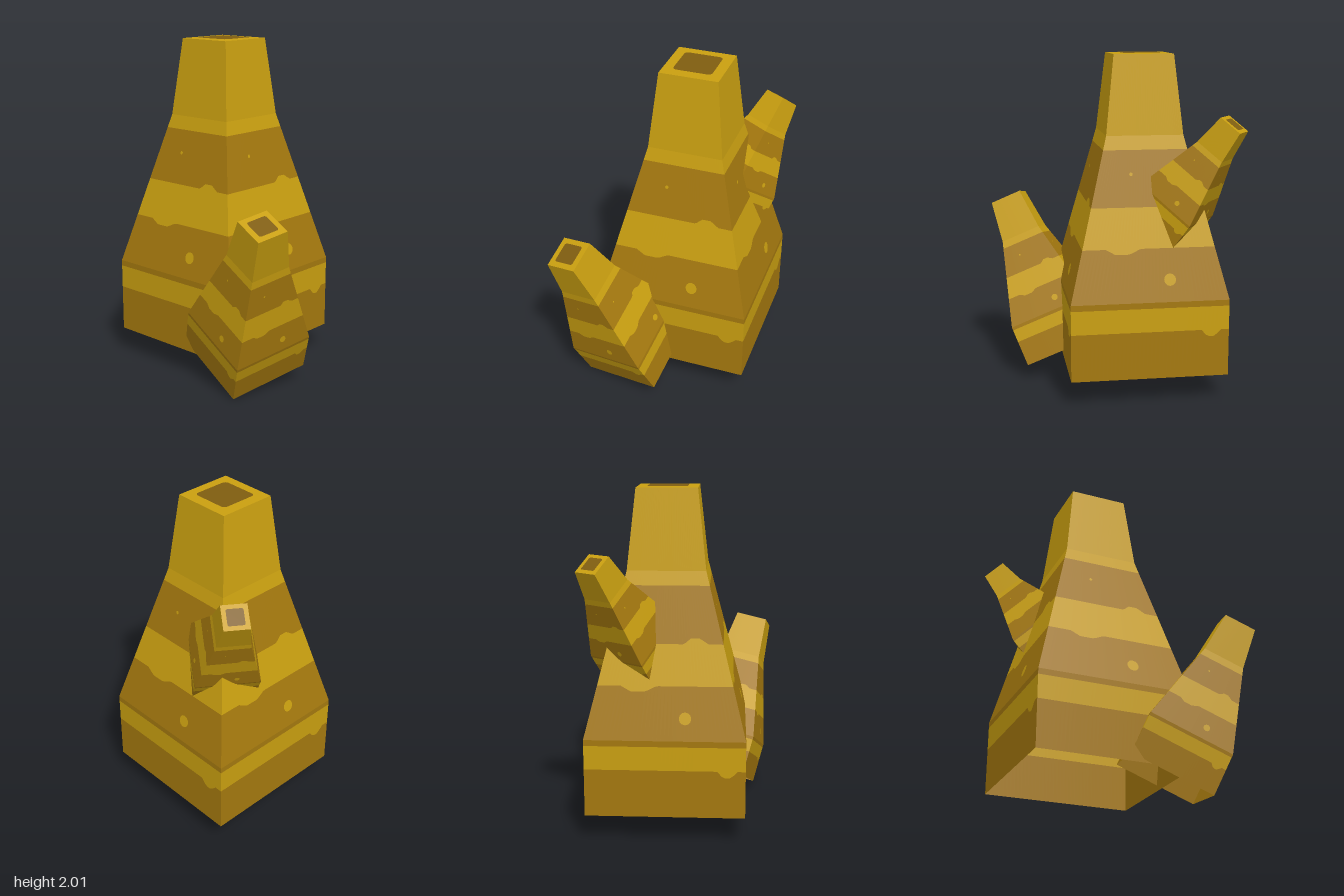
import * as THREE from 'three';

const mat = (name, color) => new THREE.MeshStandardMaterial({ name, color, side: THREE.DoubleSide });

// Half-width of the square chimney at each height
const PROFILE = [[0, 0.46], [0.455, 0.46], [1.385, 0.225], [1.845, 0.175]];
const HEIGHT = 1.845;
function halfWidth(h) {
  for (let i = 1; i < PROFILE.length; i++) {
    const [h0, w0] = PROFILE[i - 1], [h1, w1] = PROFILE[i];
    if (h <= h1) return w0 + (w1 - w0) * (h - h0) / (h1 - h0);
  }
  return 0.175;
}

// Band limits, with the colour of the band above each; drips are [centre, width, offset]
const LEVELS = [
  { h: 0, tone: 'dark' },
  { h: 0.28, tone: 'light', drips: [[0.77, 0.12, -0.04]] },
  { h: 0.42, tone: 'dark' },
  { h: 0.455, tone: 'dark' },
  { h: 0.755, tone: 'light', drips: [[-0.39, 0.26, -0.03]] },
  { h: 0.985, tone: 'dark', drips: [[0.53, 0.21, 0.032]] },
  { h: 1.305, tone: 'light' },
  { h: 1.385, tone: 'light' },
  { h: HEIGHT },
];
const SPOTS = [[0.115, 0.58, 0.035], [-0.09, 1.17, 0.01]];

function edgeHeight(level, s) {
  let h = level.h;
  for (const [c, w, d] of level.drips || []) {
    const t = Math.abs(s - c) / w;
    if (t < 1) h += d * Math.min(1, 1.7 * (1 - t));
  }
  return h;
}

function surface(points) {
  const g = new THREE.BufferGeometry();
  g.setAttribute('position', new THREE.Float32BufferAttribute(points, 3));
  g.computeVertexNormals();
  return g;
}

// One wall's faces of one tone, in front of +z
function wallGeometry(tone) {
  const out = [], N = 40;
  const at = (s, h) => [s * halfWidth(h), h, halfWidth(h)];
  for (let i = 0; i < LEVELS.length - 1; i++) {
    if (LEVELS[i].tone !== tone) continue;
    for (let k = 0; k < N; k++) {
      const s0 = -1 + 2 * k / N, s1 = -1 + 2 * (k + 1) / N;
      const a = at(s0, edgeHeight(LEVELS[i], s0)), b = at(s1, edgeHeight(LEVELS[i], s1));
      const c = at(s1, edgeHeight(LEVELS[i + 1], s1)), d = at(s0, edgeHeight(LEVELS[i + 1], s0));
      out.push(...a, ...b, ...c, ...a, ...c, ...d);
    }
  }
  return surface(out);
}

// Small round spots lying on the sloping wall
function spotGeometry() {
  const out = [], N = 12;
  for (const [x, h, r] of SPOTS) {
    const at = (rad, k) => {
      const a = k / N * Math.PI * 2, y = h + rad * Math.sin(a);
      return [x + rad * Math.cos(a), y, halfWidth(y) + 0.003];
    };
    for (let k = 0; k < N; k++) out.push(...at(0, 0), ...at(r, k), ...at(r, k + 1));
  }
  return surface(out);
}

function roundedSquare(half, r) {
  const s = new THREE.Shape(), q = half - r;
  [[q, q], [-q, q], [-q, -q], [q, -q]].forEach(([x, y], i) =>
    s.absarc(x, y, r, i * Math.PI / 2, (i + 1) * Math.PI / 2, false));
  return new THREE.ShapeGeometry(s, 4).rotateX(-Math.PI / 2);
}

export function createModel() {
  const model = new THREE.Group();
  model.name = 'ventCluster';
  const light = mat('yellow ochre', 0xc99f10);
  const dark = mat('brown ochre', 0xa4780e);
  const hole = mat('vent brown', 0x7f5d10);

  const add = (parent, name, geometry, material) => {
    const m = new THREE.Mesh(geometry, material);
    m.name = name;
    parent.add(m);
    return m;
  };
  const lightWall = wallGeometry('light'), darkWall = wallGeometry('dark');
  const spots = spotGeometry();
  const cap = new THREE.PlaneGeometry(0.35, 0.35).rotateX(-Math.PI / 2);
  const vent = roundedSquare(0.115, 0.025);

  // A hollow, open-bottomed chimney with four banded walls
  function chimney(name) {
    const g = new THREE.Group();
    g.name = name;
    for (let i = 0; i < 4; i++) {
      const wall = new THREE.Group();
      wall.name = 'wall';
      wall.rotation.y = i * Math.PI / 2;
      add(wall, 'lightBands', lightWall, light);
      add(wall, 'darkBands', darkWall, dark);
      add(wall, 'spots', spots, light);
      g.add(wall);
    }
    add(g, 'rim', cap, light).position.y = HEIGHT;
    add(g, 'ventOpening', vent, hole).position.y = HEIGHT + 0.004;
    model.add(g);
    return g;
  }

  chimney('mainChimney').position.set(-0.15, 0.155, -0.075);

  // Side chimneys: smaller copies leaning outward, placed by their top centre
  function sideChimney(name, top, across, axis, scale) {
    const g = chimney(name);
    const y = new THREE.Vector3(...axis).normalize();
    const z = new THREE.Vector3(...across).cross(y).normalize();
    const x = new THREE.Vector3().crossVectors(y, z);
    g.quaternion.setFromRotationMatrix(new THREE.Matrix4().makeBasis(x, y, z));
    g.scale.setScalar(scale);
    g.position.set(...top).addScaledVector(y, -HEIGHT * scale);
  }
  sideChimney('leftFrontChimney', [0.607, 1.067, 0.442], [0.897, -0.41, 0.154], [0.361, 0.891, 0.266], 0.557);
  sideChimney('rightBackChimney', [-0.634, 1.612, -0.46], [0.664, 0.594, 0.455], [-0.494, 0.805, -0.33], 0.41);

  return model;
}
